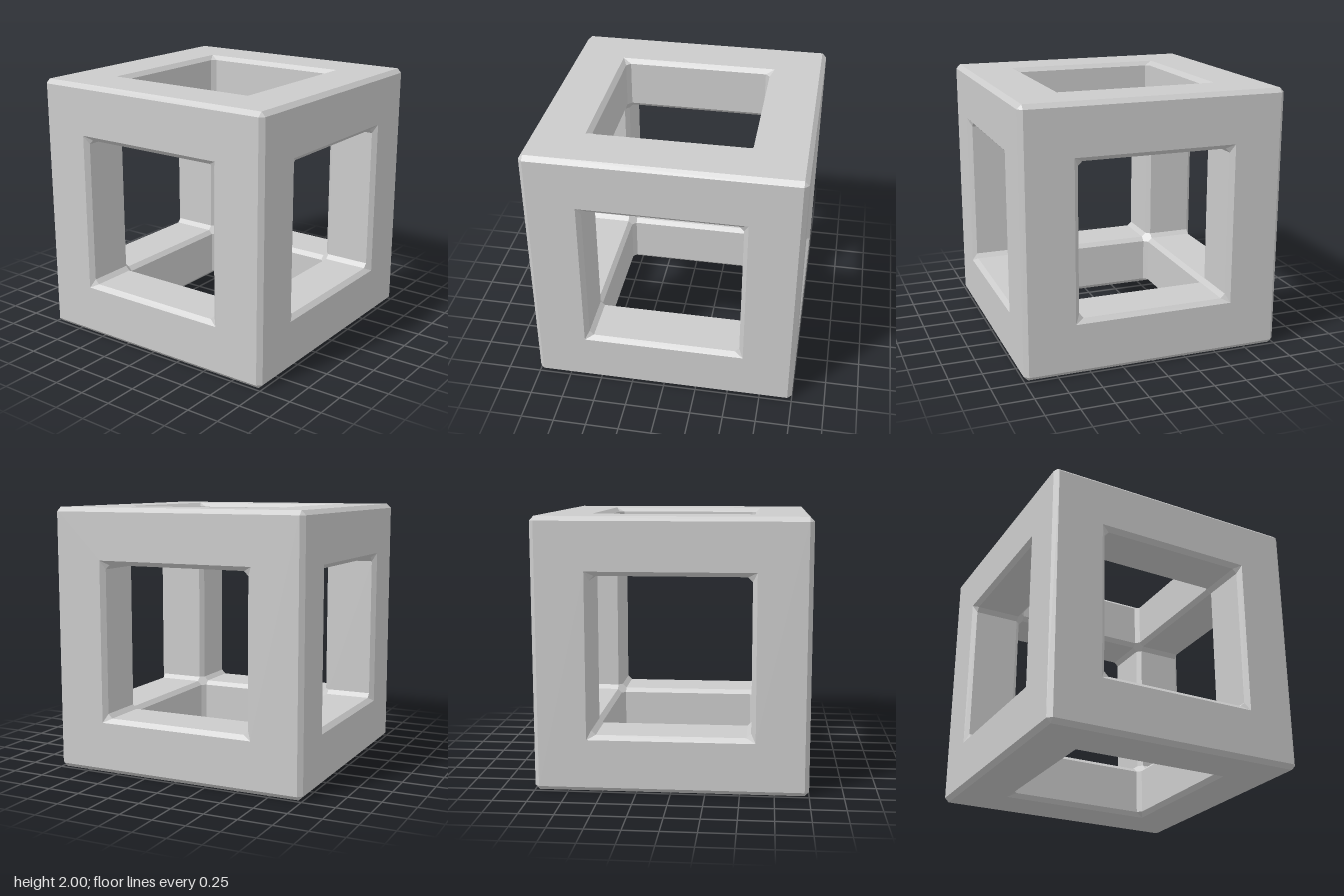
import * as THREE from 'three';

const B = 0.033;             // chamfer width
const C = 1 - B;             // outer face edge
const A = 0.579;             // half width of the openings
const H = A + B, S = A - B;  // chamfer limits either side of the opening wall

const rotX = (n) => new THREE.Matrix4().makeRotationX((n * Math.PI) / 2);
const rotZ = (n) => new THREE.Matrix4().makeRotationZ((n * Math.PI) / 2);
// Rotation that cycles the axes x -> y -> z
const cycle = new THREE.Matrix4().makeBasis(
  new THREE.Vector3(0, 1, 0), new THREE.Vector3(0, 0, 1), new THREE.Vector3(1, 0, 0));
const cycles = [new THREE.Matrix4(), cycle, cycle.clone().multiply(cycle)];
const quarter = [0, 1, 2, 3];

// Symmetry sets: 8 corners, 12 edges, 24 face quarters
const corners = [0, 2].flatMap((f) => quarter.map((q) => rotX(f).multiply(rotZ(q))));
const edges = cycles.flatMap((c) => quarter.map((q) => c.clone().multiply(rotX(q))));
const quarters = cycles.flatMap((c) => corners.map((m) => c.clone().multiply(m)));

export function createModel() {
  const group = new THREE.Group();
  group.name = 'cubeFrame';
  const material = new THREE.MeshStandardMaterial({ color: 0xcccccc, flatShading: true });

  // Repeats one convex polygon under every rotation of a symmetry set
  function addPart(name, polygon, rotations) {
    const positions = [];
    for (const m of rotations) {
      const p = polygon.map((v) => new THREE.Vector3(...v).applyMatrix4(m));
      for (let i = 1; i < p.length - 1; i++) {
        for (const v of [p[0], p[i], p[i + 1]]) positions.push(v.x, v.y + 1, v.z);
      }
    }
    const geometry = new THREE.BufferGeometry();
    geometry.setAttribute('position', new THREE.Float32BufferAttribute(positions, 3));
    geometry.computeVertexNormals();
    const mesh = new THREE.Mesh(geometry, material);
    mesh.name = name;
    group.add(mesh);
  }

  // Flat outer faces with square openings
  addPart('outerFaces', [[-C, C, 1], [-H, H, 1], [H, H, 1], [C, C, 1]], quarters);
  // Chamfered outside of the cube
  addPart('outerEdgeChamfers', [[-C, 1, C], [-C, C, 1], [C, C, 1], [C, 1, C]], edges);
  addPart('outerCornerChamfers', [[1, C, C], [C, 1, C], [C, C, 1]], corners);
  // Chamfered rims of the openings
  addPart('openingRims', [[-H, H, 1], [-S, A, C], [S, A, C], [H, H, 1]], quarters);
  addPart('openingRimCorners', [[H, H, 1], [S, A, C], [A, S, C]], quarters);
  // Walls through the openings and their filled corners
  addPart('openingWalls', [[-S, A, C], [-S, A, H], [S, A, H], [S, A, C]], quarters);
  addPart('openingWallCorners', [[S, A, C], [S, A, H], [A, S, H], [A, S, C]], quarters);
  // Inner edges of the beams, meeting at hexagonal facets
  addPart('innerEdgeChamfers', [[-S, A, H], [-S, H, A], [S, H, A], [S, A, H]], edges);
  addPart('innerCornerFacets',
    [[H, S, A], [A, S, H], [S, A, H], [S, H, A], [A, H, S], [H, A, S]], corners);

  return group;
}
